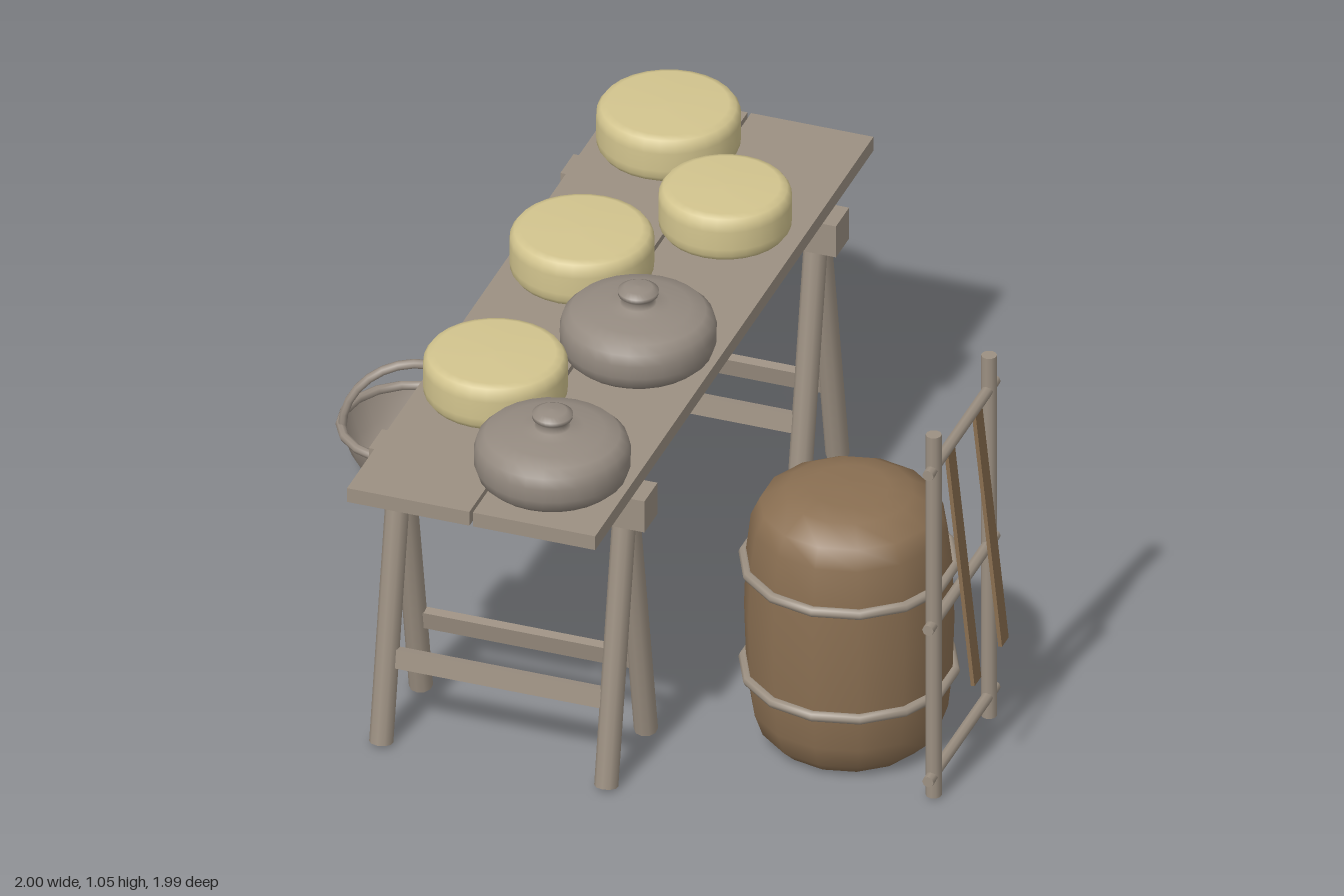
import * as THREE from 'three';

const mat = (name, color, side = THREE.FrontSide) => {
  const m = new THREE.MeshStandardMaterial({ color, side });
  m.name = name;
  return m;
};

export function createModel() {
  const root = new THREE.Group();
  root.name = 'marketStall';
  const wood = mat('weatheredWood', 0x9c9082);
  const clay = mat('greyClay', 0x948a80);
  const basketMat = mat('greyWicker', 0x988d82, THREE.DoubleSide);
  const cheeseMat = mat('paleCheese', 0xd2c48e);
  const barrelMat = mat('brownBarrel', 0x8a6f52);
  const strapMat = mat('leatherStrap', 0x8a6f50);

  const add = (parent, name, geo, material, x = 0, y = 0, z = 0) => {
    const m = new THREE.Mesh(geo, material);
    m.name = name;
    m.position.set(x, y, z);
    parent.add(m);
    return m;
  };
  const group = (name, x = 0, y = 0, z = 0) => {
    const g = new THREE.Group();
    g.name = name;
    g.position.set(x, y, z);
    root.add(g);
    return g;
  };
  // Round pole between two points
  const pole = (parent, name, a, b, r, material, sides = 10) => {
    const A = new THREE.Vector3(...a), B = new THREE.Vector3(...b);
    const d = B.clone().sub(A);
    const m = add(parent, name, new THREE.CylinderGeometry(r, r, d.length(), sides), material);
    m.position.copy(A).add(B).multiplyScalar(0.5);
    m.quaternion.setFromUnitVectors(new THREE.Vector3(0, 1, 0), d.normalize());
    return m;
  };
  const lathe = (pts, sides) => new THREE.LatheGeometry(pts.map(p => new THREE.Vector2(...p)), sides);

  // Table top: two planks with a narrow gap
  const table = group('table');
  add(table, 'leftPlank', new THREE.BoxGeometry(0.322, 0.04, 1.99), wood, -0.309, 0.812, -0.005);
  add(table, 'rightPlank', new THREE.BoxGeometry(0.322, 0.04, 1.99), wood, 0.022, 0.812, -0.005);

  // Trestles
  for (const z of [0.685, -0.685]) {
    const t = group('trestle', 0, 0, z);
    add(t, 'beam', new THREE.BoxGeometry(0.725, 0.09, 0.094), wood, -0.145, 0.745, 0);
    for (const s of [-1, 1]) {
      for (const x of [-0.44, 0.152])
        pole(t, 'leg', [x, 0.006, s * 0.142], [x, 0.76, s * 0.004], 0.03, wood);
      const rail = add(t, 'rail', new THREE.BoxGeometry(0.6, 0.05, 0.025), wood, -0.144, 0.232, s * 0.1);
      rail.rotation.x = -s * 0.18;
    }
  }

  // Cheese wheels
  for (const [x, z, r] of [[-0.275, -0.78, 0.18], [-0.012, -0.47, 0.166], [-0.275, -0.16, 0.18], [-0.275, 0.458, 0.18]]) {
    const pts = [[0, 0], [r - 0.03, 0], [r - 0.012, 0.006], [r - 0.002, 0.02], [r, 0.04],
      [r, 0.09], [r - 0.002, 0.108], [r - 0.012, 0.122], [r - 0.03, 0.128], [0, 0.13]];
    add(root, 'cheeseWheel', lathe(pts, 28), cheeseMat, x, 0.832, z);
  }

  // Lidded pots
  const potProfile = [[0, 0], [0.165, 0], [0.185, 0.018], [0.194, 0.045], [0.195, 0.08], [0.188, 0.108],
    [0.168, 0.128], [0.13, 0.138], [0.08, 0.146], [0.045, 0.15], [0.037, 0.163], [0.05, 0.175],
    [0.051, 0.186], [0.035, 0.195], [0, 0.198]];
  for (const z of [0.152, 0.766])
    add(root, 'liddedPot', lathe(potProfile, 28), clay, -0.012, 0.832, z);

  // Barrel with two hoops
  const barrel = group('barrel', 0.628, 0, 0.383);
  add(barrel, 'barrelBody', lathe([[0, 0.006], [0.19, 0.006], [0.225, 0.04], [0.246, 0.1], [0.257, 0.2],
    [0.262, 0.36], [0.257, 0.52], [0.245, 0.62], [0.222, 0.67], [0.16, 0.708], [0.1, 0.72], [0, 0.722]], 14), barrelMat);
  for (const y of [0.204, 0.508]) {
    const hoop = add(barrel, 'hoop', new THREE.TorusGeometry(0.262, 0.014, 8, 14), wood, 0, y, 0);
    hoop.rotation.set(-Math.PI / 2, 0, -Math.PI / 2);
  }

  // Carrying frame with two shoulder straps
  const frame = group('carryingFrame', 0.925, 0, 0.388);
  for (const s of [-1, 1]) {
    pole(frame, 'framePole', [0, 0.005, s * 0.198], [0, 1.052, s * 0.198], 0.02, wood);
    const strap = add(frame, 'strap', new THREE.BoxGeometry(0.01, 0.66, 0.048), strapMat, 0.04, 0.62, s * 0.098);
    strap.rotation.z = 0.105;
  }
  for (const y of [0.065, 0.505, 0.955])
    pole(frame, 'rung', [0, y, -0.24], [0, y, 0.24], 0.015, wood, 8);

  // Basket of eggs
  const basket = group('basket', -0.803, 0, -0.393);
  add(basket, 'basketBowl', lathe([[0, 0.006], [0.1, 0.006], [0.132, 0.025], [0.155, 0.065],
    [0.172, 0.11], [0.18, 0.142]], 18), basketMat);
  const rim = add(basket, 'basketRim', new THREE.TorusGeometry(0.182, 0.012, 8, 18), basketMat, 0, 0.14, 0);
  rim.rotation.x = Math.PI / 2;
  const handle = add(basket, 'basketHandle', new THREE.TorusGeometry(0.177, 0.011, 8, 14, Math.PI), basketMat, 0, 0.138, 0);
  handle.rotation.y = 0.407;
  handle.scale.z = 1.3;
  for (let i = 0; i < 7; i++) {
    const a = i * Math.PI / 3 + 0.5, d = i < 6 ? 0.058 : 0;
    const egg = add(basket, 'egg', new THREE.SphereGeometry(0.025, 12, 8), clay, Math.cos(a) * d, 0.035, Math.sin(a) * d);
    egg.scale.set(1, 1.1, 1.15);
    egg.rotation.y = a;
  }

  return root;
}
